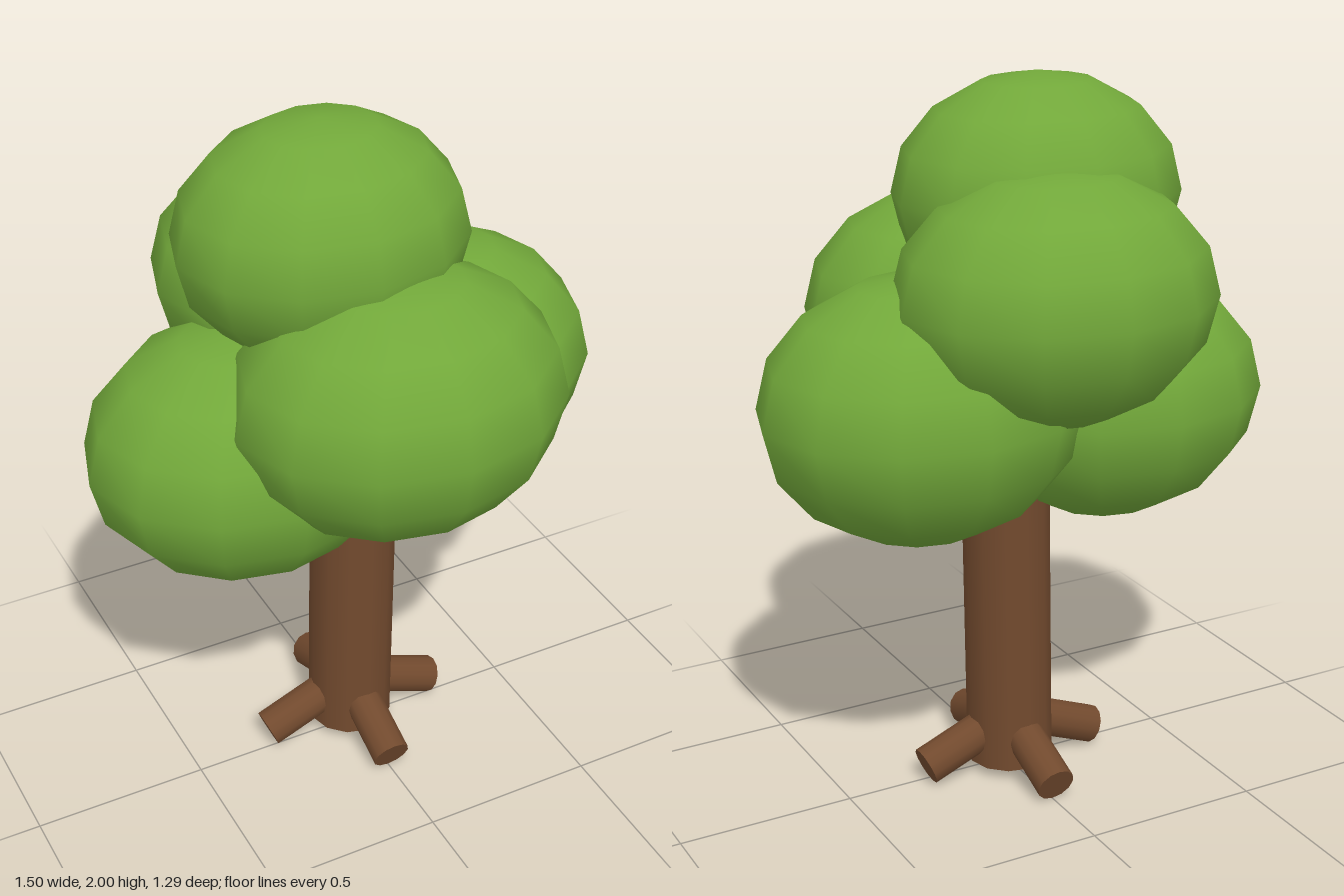
import * as THREE from 'three';

export function createModel() {
  const tree = new THREE.Group();
  tree.name = 'tree';
  const bark = new THREE.MeshStandardMaterial({ color: 0x724a2e });
  bark.name = 'bark brown';
  const leaf = new THREE.MeshStandardMaterial({ color: 0x72a83a });
  leaf.name = 'leaf green';

  function add(name, geometry, material, position) {
    const mesh = new THREE.Mesh(geometry, material);
    mesh.name = name;
    mesh.position.set(...position);
    tree.add(mesh);
    return mesh;
  }

  // Cylinder running between two points
  function limb(name, from, to, radius, sides) {
    const a = new THREE.Vector3(...from);
    const b = new THREE.Vector3(...to);
    const axis = b.clone().sub(a);
    const geometry = new THREE.CylinderGeometry(radius, radius, axis.length(), sides);
    const mesh = add(name, geometry, bark, a.clone().add(b).multiplyScalar(0.5).toArray());
    mesh.quaternion.setFromUnitVectors(new THREE.Vector3(0, 1, 0), axis.normalize());
  }

  // Slightly leaning trunk
  const trunkZ = -0.02;
  limb('trunk', [0, 0.035, trunkZ], [0.02, 1.3, trunkZ], 0.122, 12);

  // Four stubby roots sloping down and out
  ['rootLeft', 'rootFront', 'rootRight', 'rootBack'].forEach((name, i) => {
    const angle = (i * Math.PI) / 2;
    const x = Math.cos(angle), z = Math.sin(angle);
    limb(name, [0.06 * x, 0.139, trunkZ + 0.06 * z], [0.27 * x, 0.055, trunkZ + 0.27 * z], 0.055, 12);
  });

  // Rounded foliage clumps: centre and radii
  const clumps = [
    ['foliageTop', [-0.085, 1.68, -0.012], [0.4, 0.32, 0.343]],
    ['foliageFront', [0, 1.31, 0.255], [0.46, 0.36, 0.387]],
    ['foliageBack', [0, 1.463, -0.265], [0.44, 0.337, 0.38]],
    ['foliageLeft', [0.3, 1.16, -0.093], [0.45, 0.36, 0.392]],
    ['foliageRight', [-0.31, 1.098, -0.022], [0.445, 0.354, 0.385]],
  ];
  for (const [name, centre, radii] of clumps) {
    add(name, new THREE.SphereGeometry(1, 12, 8).scale(...radii), leaf, centre);
  }
  return tree;
}
